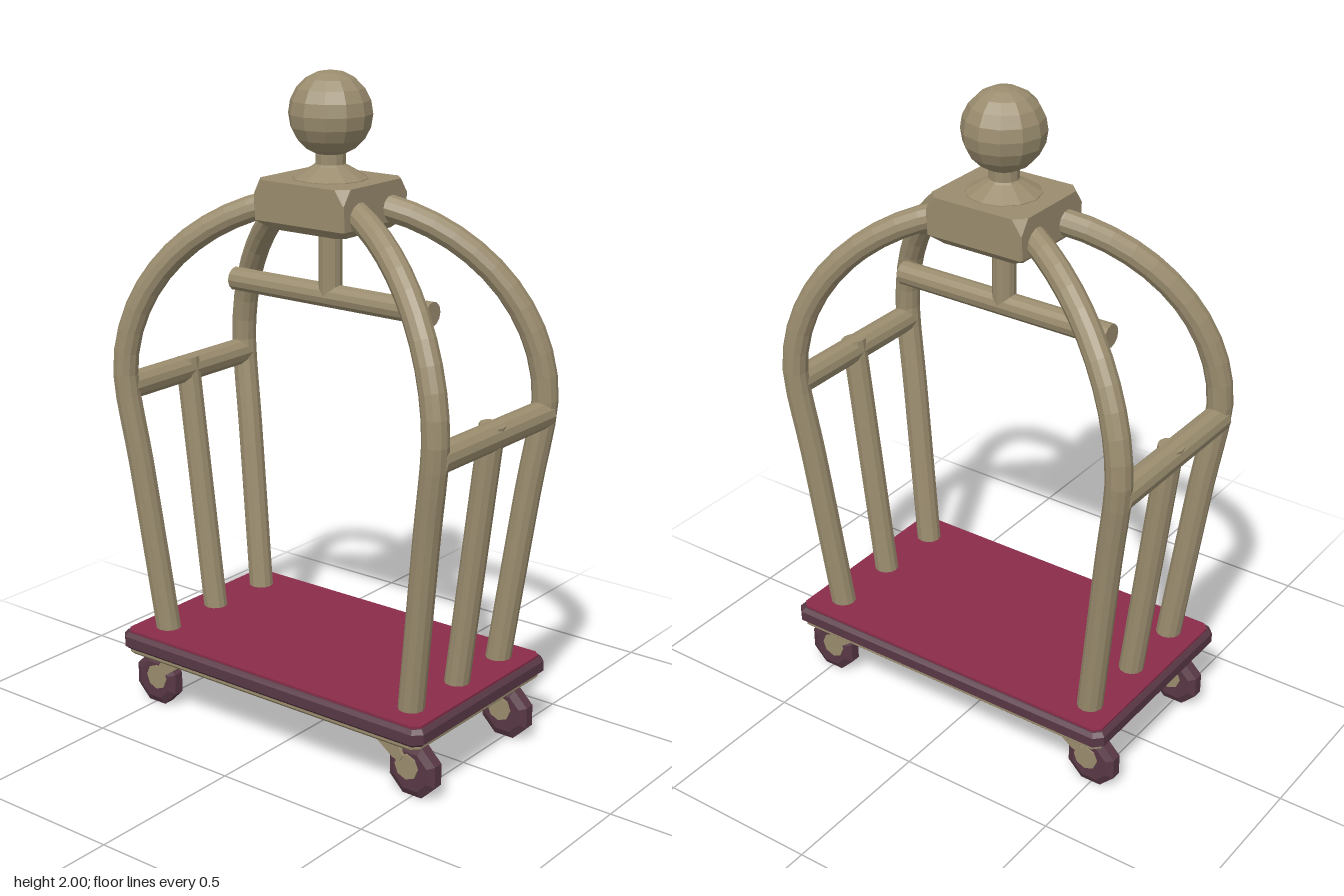
import * as THREE from 'three';

const mat = (name, color) => {
  const m = new THREE.MeshStandardMaterial({ color, flatShading: true });
  m.name = name;
  return m;
};

// Stack of corner-cut rectangles, each [halfX, halfZ, cut, y], from bottom to top
function slab(rings) {
  const loops = rings.map(([x, z, c, y]) => [
    [x, y, z - c], [x, y, -z + c], [x - c, y, -z], [-x + c, y, -z],
    [-x, y, -z + c], [-x, y, z - c], [-x + c, y, z], [x - c, y, z],
  ]);
  const pos = [];
  const tri = (a, b, c) => pos.push(...a, ...b, ...c);
  for (let r = 0; r < loops.length - 1; r++) {
    for (let i = 0; i < 8; i++) {
      const j = (i + 1) % 8, lo = loops[r], hi = loops[r + 1];
      tri(lo[i], lo[j], hi[j]);
      tri(lo[i], hi[j], hi[i]);
    }
  }
  const bottom = loops[0], top = loops[loops.length - 1];
  for (let i = 1; i < 7; i++) {
    tri(top[0], top[i], top[i + 1]);
    tri(bottom[0], bottom[i + 1], bottom[i]);
  }
  const g = new THREE.BufferGeometry();
  g.setAttribute('position', new THREE.Float32BufferAttribute(pos, 3));
  g.computeVertexNormals();
  return g;
}

// Straight round rod between two points
function rod(a, b, radius) {
  const from = new THREE.Vector3(...a), to = new THREE.Vector3(...b);
  const dir = to.clone().sub(from);
  const g = new THREE.CylinderGeometry(radius, radius, dir.length(), 12);
  g.applyQuaternion(new THREE.Quaternion().setFromUnitVectors(new THREE.Vector3(0, 1, 0), dir.normalize()));
  const mid = from.add(to).multiplyScalar(0.5);
  return g.translate(mid.x, mid.y, mid.z);
}

export function createModel() {
  const model = new THREE.Group();
  model.name = 'luggageCart';
  const brass = mat('brass', 0x9a8c6e);
  const red = mat('carpetRed', 0x8a2c49);
  const plum = mat('darkPlum', 0x583845);
  const add = (name, geometry, material, parent = model) => {
    const m = new THREE.Mesh(geometry, material);
    m.name = name;
    parent.add(m);
    return m;
  };

  // Platform: metal tray, rubber bumper, carpet
  add('tray', slab([[0.315, 0.55, 0.02, 0.175], [0.325, 0.56, 0.02, 0.185], [0.325, 0.56, 0.02, 0.21]]), brass);
  add('bumper', slab([
    [0.325, 0.562, 0.02, 0.193], [0.338, 0.575, 0.025, 0.205],
    [0.338, 0.575, 0.025, 0.236], [0.327, 0.564, 0.02, 0.248],
  ]), plum);
  add('carpet', slab([[0.323, 0.56, 0.02, 0.235], [0.323, 0.56, 0.02, 0.255]]), red);

  // Four bent legs: straight and leaning out below, a quarter arch above
  const ratio = 0.48;
  for (const sx of [1, -1]) {
    for (const sz of [1, -1]) {
      const at = (z, y) => new THREE.Vector3(sx * z * ratio, y, sz * z);
      const pts = [at(0.467, 0.24), at(0.5, 0.51), at(0.536, 0.8)];
      for (let i = 0; i <= 9; i++) {
        const t = THREE.MathUtils.degToRad(i * 9);
        pts.push(at(0.572 * Math.cos(t), 1.07 + 0.565 * Math.sin(t)));
      }
      add('leg', new THREE.TubeGeometry(new THREE.CatmullRomCurve3(pts), 24, 0.039, 12), brass);
    }
  }

  // End rails with a leaning middle post
  for (const sz of [1, -1]) {
    add('endRail', rod([-0.272, 1.03, sz * 0.572], [0.272, 1.03, sz * 0.572], 0.042), brass);
    add('middlePost', rod([0, 0.24, sz * 0.47], [0, 1.065, sz * 0.572], 0.038), brass);
  }

  // Crown block with cut corners
  add('crownBlock', slab([
    [0.125, 0.138, 0.02, 1.55], [0.15, 0.163, 0.006, 1.575],
    [0.15, 0.163, 0.002, 1.65], [0.15, 0.163, 0.032, 1.693],
  ]), brass);

  // Finial: flared collar, neck and ball
  const collar = [[0.11, 1.685], [0.11, 1.695], [0.05, 1.73], [0.044, 1.735], [0.044, 1.79]];
  add('collar', new THREE.LatheGeometry(collar.map(([r, y]) => new THREE.Vector2(r, y)), 12), brass);
  add('ball', new THREE.SphereGeometry(0.122, 12, 10).translate(0, 1.878, 0), brass);

  // Hanging rail under the crown
  add('hangerStem', rod([0, 1.34, 0], [0, 1.57, 0], 0.035), brass);
  add('hangerRail', rod([0, 1.347, -0.365], [0, 1.347, 0.365], 0.036), brass);

  // Casters: eight-sided bevelled wheel, cap and slanted fork
  const R = 0.079 / Math.cos(Math.PI / 8);
  const wheelProfile = [[0, -0.025], [0.062, -0.027], [R, -0.016], [R, 0.016], [0.062, 0.027], [0, 0.025]]
    .map(([r, y]) => new THREE.Vector2(r, y));
  const wheelGeo = new THREE.LatheGeometry(wheelProfile, 8, Math.PI / 8).rotateZ(Math.PI / 2);
  const capGeo = new THREE.CylinderGeometry(0.04, 0.04, 0.062, 8).rotateZ(Math.PI / 2);
  const forkShape = new THREE.Shape([
    [0.34, 0.185], [0.44, 0.113], [0.465, 0.105], [0.478, 0.125], [0.46, 0.15], [0.425, 0.185],
  ].map(([z, y]) => new THREE.Vector2(z, y)));
  const forkGeo = new THREE.ExtrudeGeometry(forkShape, { depth: 0.074, bevelEnabled: false })
    .translate(0, 0, -0.037).rotateY(-Math.PI / 2);
  for (const sx of [1, -1]) {
    for (const sz of [1, -1]) {
      const caster = new THREE.Group();
      caster.name = 'caster';
      caster.position.x = sx * 0.24;
      if (sz < 0) caster.rotation.y = Math.PI;
      add('wheel', wheelGeo, plum, caster).position.set(0, 0.079, 0.497);
      add('wheelCap', capGeo, brass, caster).position.set(0, 0.092, 0.485);
      add('fork', forkGeo, brass, caster);
      model.add(caster);
    }
  }
  return model;
}
